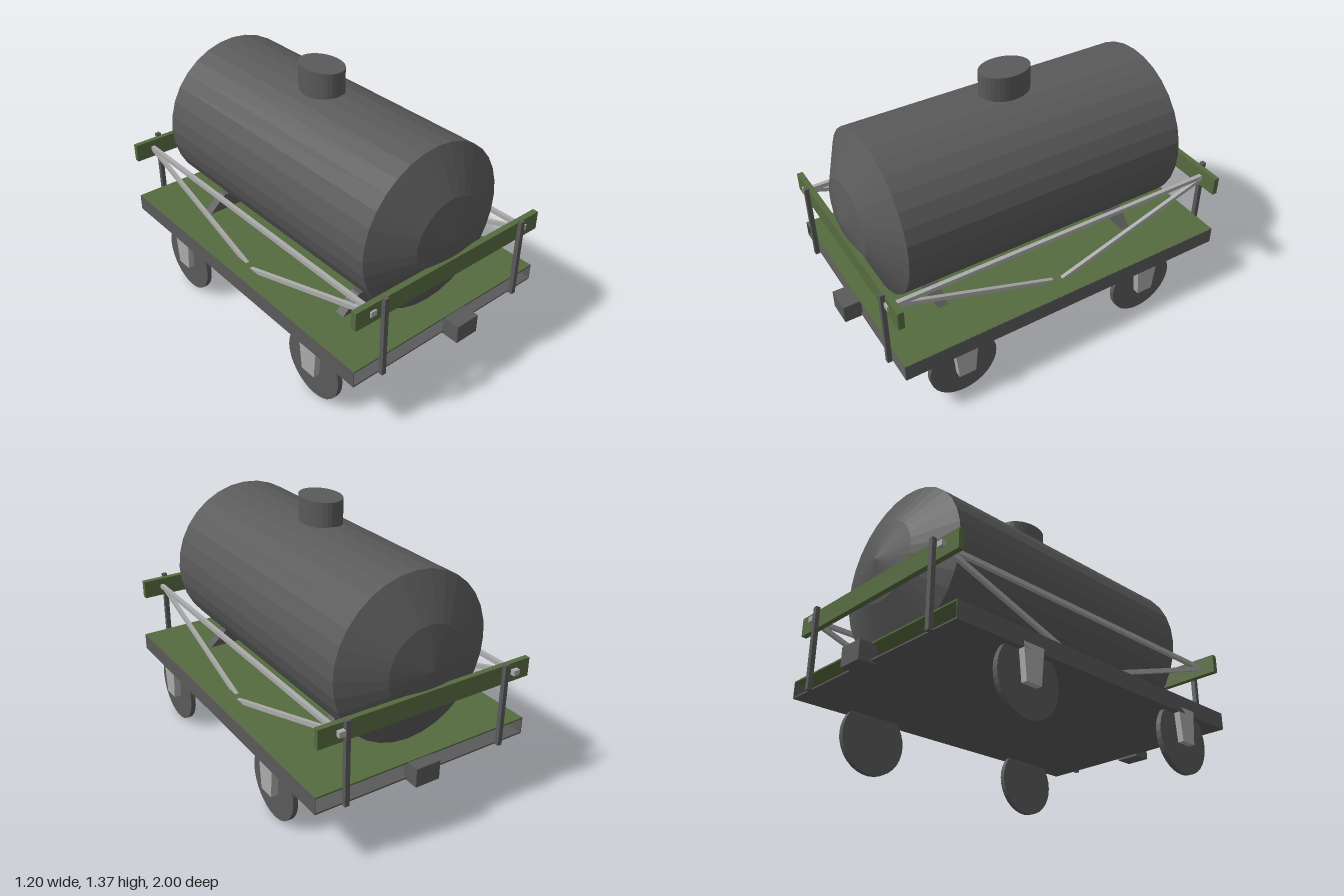
import * as THREE from 'three';

const mat = (name, color, extra = {}) =>
  Object.assign(new THREE.MeshStandardMaterial({ color, flatShading: true, ...extra }), { name });

export function createModel() {
  const root = new THREE.Group();
  root.name = 'tankWagon';
  const steel = mat('dark steel', 0x5a5a5a);
  const green = mat('olive green', 0x566b3f);
  const light = mat('light grey metal', 0xababab);

  const add = (name, geometry, material) => {
    const mesh = new THREE.Mesh(geometry, material);
    mesh.name = name;
    root.add(mesh);
    return mesh;
  };
  // Box given by its limits on each axis
  const box = (name, material, x0, x1, y0, y1, z0, z1) => {
    const g = new THREE.BoxGeometry(x1 - x0, y1 - y0, z1 - z0);
    g.translate((x0 + x1) / 2, (y0 + y1) / 2, (z0 + z1) / 2);
    return add(name, g, material);
  };
  // Prism from an outline in the xy plane
  const prism = (points, depth) => new THREE.ExtrudeGeometry(
    new THREE.Shape(points.map(([x, y]) => new THREE.Vector2(x, y))),
    { depth, bevelEnabled: false });
  // Square bar running between two (y, z) points at a fixed x
  const bar = (name, x, width, y0, z0, y1, z1) => {
    const mesh = add(name, new THREE.BoxGeometry(width, 0.022, Math.hypot(y1 - y0, z1 - z0)), light);
    mesh.position.set(x, (y0 + y1) / 2, (z0 + z1) / 2);
    mesh.rotation.x = -Math.atan2(y1 - y0, z1 - z0);
  };

  // Tank with faceted domed ends
  const profile = [[0, -0.94], [0.21, -0.897], [0.426, -0.787], [0.426, 0.767], [0.21, 0.88], [0, 0.918]];
  const tank = new THREE.LatheGeometry(profile.map(([r, y]) => new THREE.Vector2(r, y)), 32);
  tank.rotateX(Math.PI / 2);
  tank.translate(-0.007, 0.823, 0);
  add('tank', tank, steel);

  // Oval filler dome
  const dome = new THREE.CylinderGeometry(1, 1, 0.17, 32);
  dome.scale(0.099, 1, 0.136);
  dome.translate(-0.023, 1.287, -0.003);
  add('fillerDome', dome, steel);

  // Hollow deck, open at both ends
  box('deckTop', green, -0.6, 0.6, 0.384, 0.392, -0.935, 0.912);
  box('deckBottom', steel, -0.6, 0.6, 0.302, 0.31, -0.935, 0.912);
  for (const s of [-1, 1]) {
    const x = s * 0.6;
    box('deckSide', steel, x - 0.002, x + 0.002, 0.302, 0.391, -0.935, 0.912);
  }

  // Coupler blocks
  box('frontCoupler', steel, -0.03, 0.104, 0.29, 0.388, 0.905, 1);
  box('rearCoupler', steel, -0.03, 0.104, 0.29, 0.388, -1, -0.905);

  // Saddle wedges under the tank
  const wedges = [
    [[-0.405, 0.386], [-0.165, 0.386], [-0.165, 0.48], [-0.3, 0.48]],
    [[0.113, 0.386], [0.358, 0.386], [0.25, 0.48], [0.113, 0.48]],
  ];
  for (const z of [0.58, -0.54]) {
    for (const outline of wedges) {
      add('saddle', prism(outline, 0.052), steel).position.z = z - 0.026;
    }
  }

  // Wheels and tapered axle boxes
  const boxOutline = [[-0.045, 0.15], [0.045, 0.15], [0.062, 0.33], [-0.062, 0.33]];
  for (const z of [0.588, -0.502]) {
    for (const [wheelX, boxX] of [[-0.556, -0.565], [0.548, 0.6]]) {
      const wheel = add('wheel', new THREE.CylinderGeometry(0.184, 0.184, 0.027, 32), steel);
      wheel.rotation.z = Math.PI / 2;
      wheel.position.set(wheelX, 0.184, z);
      const axleBox = add('axleBox', prism(boxOutline, 0.037), light);
      axleBox.rotation.y = -Math.PI / 2;
      axleBox.position.set(boxX, 0, z);
    }
  }

  // End beams with their posts
  box('frontBeam', green, -0.6, 0.588, 0.628, 0.726, 0.885, 0.916);
  box('rearBeam', green, -0.6, 0.588, 0.628, 0.726, -0.936, -0.908);
  for (const x of [-0.441, 0.449]) {
    box('frontPost', steel, x - 0.012, x + 0.012, 0.3, 0.737, 0.914, 0.938);
    box('rearPost', steel, x - 0.012, x + 0.012, 0.3, 0.737, -0.958, -0.934);
  }

  // Side truss rods with end nuts
  for (const [x, frontX, backX] of [[-0.5, -0.508, -0.498], [0.484, 0.472, 0.487]]) {
    bar('sideRail', x, 0.022, 0.681, -0.93, 0.681, 0.91);
    bar('frontBrace', frontX, 0.02, 0.675, 0.9, 0.368, -0.02);
    bar('rearBrace', backX, 0.02, 0.675, -0.92, 0.368, 0.01);
    const nutX = (frontX + backX) / 2;
    box('frontNut', light, nutX - 0.017, nutX + 0.017, 0.667, 0.695, 0.9, 0.925);
    box('rearNut', light, nutX - 0.017, nutX + 0.017, 0.667, 0.695, -0.96, -0.92);
  }
  return root;
}
